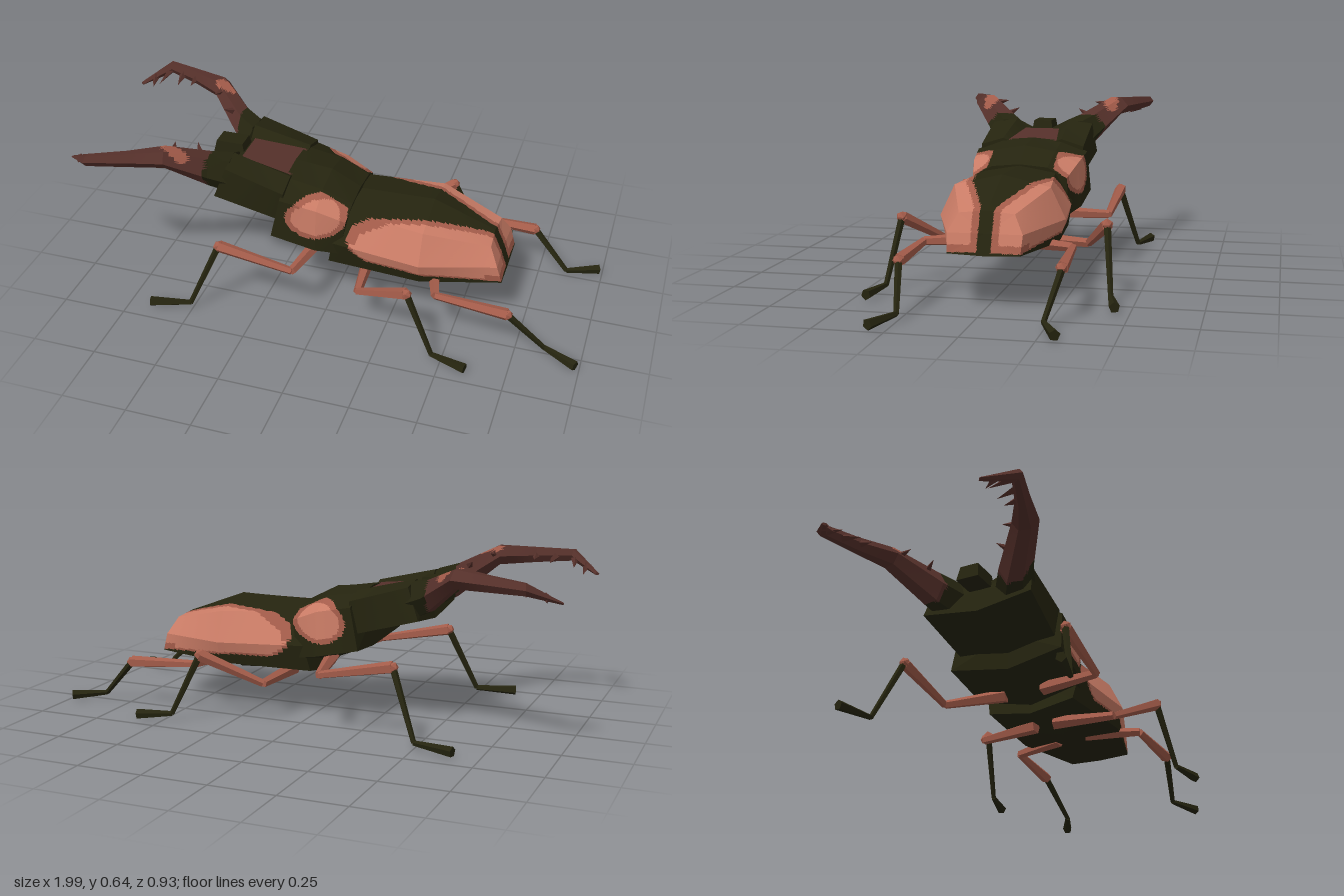
import * as THREE from 'three';

const mat = (name, color) => {
  const m = new THREE.MeshStandardMaterial({ color, flatShading: true });
  m.name = name;
  return m;
};

export function createModel() {
  const model = new THREE.Group();
  model.name = 'beetle';
  const mats = [
    mat('dark olive shell', 0x25240f),
    mat('salmon', 0xca7c66),
    mat('dull salmon', 0xa45c4a),
    mat('red brown', 0x55302a),
  ];
  const [DARK, SALMON, DULL, BROWN] = [0, 1, 2, 3];
  const lerp = THREE.MathUtils.lerp;

  // Loft closed rings of [x, y, z], cap both ends, and colour small cells by a rule
  function loft(name, rings, colourAt, n = 16) {
    const centre = (r) => {
      const c = [0, 1, 2].map((k) => r.reduce((s, p) => s + p[k], 0) / r.length);
      return r.map(() => c);
    };
    const all = [centre(rings[0]), ...rings, centre(rings[rings.length - 1])];
    const tris = [];
    const mix = (a, b, t) => a.map((v, k) => lerp(v, b[k], t));
    for (let i = 0; i < all.length - 1; i++) {
      for (let j = 0; j < all[i].length; j++) {
        const k = (j + 1) % all[i].length;
        const at = (u, v) => mix(mix(all[i][j], all[i][k], v / n), mix(all[i + 1][j], all[i + 1][k], v / n), u / n);
        for (let u = 0; u < n; u++) for (let v = 0; v < n; v++) {
          const a = at(u, v), b = at(u + 1, v), c = at(u + 1, v + 1), d = at(u, v + 1);
          tris.push([a, b, c], [a, c, d]);
        }
      }
    }
    // Signed volume tells which way the corners run
    let volume = 0;
    const A = new THREE.Vector3(), B = new THREE.Vector3(), C = new THREE.Vector3();
    for (const [a, b, c] of tris) volume += A.fromArray(a).dot(B.fromArray(b).cross(C.fromArray(c)));
    const buckets = mats.map(() => []);
    for (const [a, b, c] of tris) {
      const mid = [0, 1, 2].map((k) => (a[k] + b[k] + c[k]) / 3);
      buckets[colourAt(mid[0], mid[1], Math.abs(mid[2]))].push(...a, ...(volume > 0 ? b : c), ...(volume > 0 ? c : b));
    }
    const geo = new THREE.BufferGeometry();
    geo.setAttribute('position', new THREE.Float32BufferAttribute(buckets.flat(), 3));
    let start = 0;
    buckets.forEach((b, i) => {
      if (b.length) geo.addGroup(start, b.length / 3, i);
      start += b.length / 3;
    });
    geo.computeVertexNormals();
    const mesh = new THREE.Mesh(geo, mats);
    mesh.name = name;
    model.add(mesh);
  }

  // Complete a half section that runs from top centre to bottom centre
  const full = (half) => [...half, ...half.slice(1, -1).reverse().map(([x, y, z]) => [x, y, -z])];

  // Tapered rod between two points
  function rod(name, from, to, r0, r1, material, sides = 5) {
    const a = new THREE.Vector3(...from), b = new THREE.Vector3(...to);
    const dir = b.clone().sub(a);
    const mesh = new THREE.Mesh(new THREE.CylinderGeometry(r1, r0, dir.length(), sides), mats[material]);
    mesh.position.copy(a).add(b).multiplyScalar(0.5);
    mesh.quaternion.setFromUnitVectors(new THREE.Vector3(0, 1, 0), dir.normalize());
    mesh.name = name;
    model.add(mesh);
  }

  // Abdomen: two large wing-case patches beside a dark, narrowing middle stripe
  loft('abdomen', [
    [[0.07, 0.43, 0], [0.055, 0.405, 0.14], [0.01, 0.29, 0.2], [-0.01, 0.19, 0.18], [-0.01, 0.16, 0]],
    [[0.36, 0.437, 0], [0.36, 0.395, 0.18], [0.36, 0.28, 0.235], [0.36, 0.195, 0.21], [0.36, 0.18, 0]],
    [[0.6, 0.345, 0], [0.605, 0.335, 0.1], [0.64, 0.27, 0.135], [0.66, 0.2, 0.13], [0.66, 0.195, 0]],
  ].map(full), (x, y, z) => {
    const stripe = x < 0.36 ? lerp(0.165, 0.11, (x - 0.08) / 0.28) : lerp(0.11, 0.025, Math.min(1, (x - 0.36) / 0.22));
    const floor = x < 0.3 ? 0.235 : lerp(0.235, 0.205, (x - 0.3) / 0.36);
    const nose = x < 0.2 ? 0.075 - Math.hypot((x - 0.2) * 0.68, y - 0.32) + 0.015 : 1;
    const edge = Math.min(z - stripe, y - floor, nose);
    if (edge < 0) return DARK;
    return edge < (y < 0.3 && x < 0.6 ? 0.008 : 0.025) ? DULL : SALMON;
  });

  // Thorax: an oval patch on each flank
  loft('thorax', [
    [[-0.2, 0.51, 0], [-0.2, 0.5, 0.12], [-0.19, 0.46, 0.225], [-0.225, 0.3, 0.235], [-0.2, 0.27, 0]],
    [[-0.05, 0.495, 0], [-0.05, 0.475, 0.12], [-0.05, 0.43, 0.21], [-0.05, 0.26, 0.225], [-0.05, 0.21, 0]],
    [[0.065, 0.435, 0], [0.065, 0.425, 0.11], [0.06, 0.385, 0.185], [0.04, 0.24, 0.19], [0.04, 0.19, 0]],
  ].map(full), (x, y, z) => {
    const d = Math.hypot((x + 0.055) / 0.115, (y - 0.39) / 0.08);
    if (z < 0.13 || d > 1) return DARK;
    return d > 0.8 ? DULL : SALMON;
  });

  // Head: raised side lobes with a brown plate sunk between them
  loft('head', [
    [[-0.41, 0.53, 0], [-0.41, 0.53, 0.07], [-0.41, 0.565, 0.11], [-0.41, 0.55, 0.21], [-0.455, 0.43, 0.225], [-0.45, 0.4, 0]],
    [[-0.18, 0.5, 0], [-0.18, 0.5, 0.1], [-0.18, 0.508, 0.12], [-0.18, 0.48, 0.21], [-0.18, 0.35, 0.2], [-0.18, 0.33, 0]],
  ].map(full), (x, y, z) =>
    (x > -0.4 && x < -0.185 && y > 0.48 && z < lerp(0.1, 0.07, (-0.18 - x) / 0.23) ? BROWN : DARK));

  // Snout block
  const snout = new THREE.Mesh(new THREE.CylinderGeometry(0.052, 0.065, 0.06, 4, 1, false, Math.PI / 4), mats[DARK]);
  snout.scale.x = 1.45;
  snout.position.set(-0.46, 0.53, 0);
  snout.name = 'snout';
  model.add(snout);

  // Jaw stations: inner x, z, outer x, z, low y, high y
  const jaw = [
    [-0.42, 0.06, -0.4, 0.215, 0.42, 0.56],
    [-0.5, 0.115, -0.47, 0.245, 0.46, 0.58],
    [-0.63, 0.235, -0.605, 0.335, 0.575, 0.645],
    [-0.75, 0.31, -0.76, 0.375, 0.582, 0.637],
    [-0.88, 0.365, -0.893, 0.415, 0.588, 0.63],
    [-0.985, 0.3, -1, 0.312, 0.55, 0.56],
  ];
  const teeth = [
    [[-0.52, 0.57, 0.18], [-0.55, 0.6, 0.13]],
    [[-0.6, 0.615, 0.25], [-0.615, 0.625, 0.19]],
    [[-0.75, 0.61, 0.33], [-0.755, 0.6, 0.27]],
    [[-0.82, 0.605, 0.355], [-0.815, 0.59, 0.275]],
    [[-0.89, 0.6, 0.385], [-0.905, 0.575, 0.29]],
    [[-0.945, 0.58, 0.345], [-0.94, 0.55, 0.3]],
  ];
  // Leg joints: root, hip, knee, ankle, toe
  const legs = {
    front: [[-0.06, 0.23, 0.08], [-0.11, 0.22, 0.325], [-0.4, 0.28, 0.335], [-0.505, 0.03, 0.4], [-0.66, 0.027, 0.437]],
    middle: [[0.12, 0.16, 0.04], [0.14, 0.152, 0.285], [0.355, 0.265, 0.385], [0.465, 0.03, 0.415], [0.6, 0.022, 0.447]],
    hind: [[0.38, 0.2, 0.06], [0.44, 0.195, 0.275], [0.715, 0.18, 0.285], [0.86, 0.03, 0.25], [0.985, 0.022, 0.31]],
  };

  for (const [side, s] of [['left', 1], ['right', -1]]) {
    const flip = ([x, y, z]) => [x, y, z * s];
    const label = (part) => side + ' ' + part;

    // Curved jaws, dark at the root, with a small pale spot
    loft(label('jaw'), jaw.map(([xi, zi, xo, zo, lo, hi]) =>
      [[0, 0.5], [0.25, 1], [0.7, 1], [1, 0.5], [0.7, 0], [0.25, 0]].map(([t, h]) =>
        flip([lerp(xi, xo, t), lerp(lo, hi, h), lerp(zi, zo, t)]))), (x, y, z) => {
      if (x > -0.485) return DARK;
      return y > 0.59 && Math.hypot((x + 0.585) / 0.05, (z - 0.265) / 0.03) < 1 ? DULL : BROWN;
    }, 8);
    for (const [a, b] of teeth) rod(label('jaw tooth'), flip(a), flip(b), 0.018, 0, BROWN, 4);

    // Jointed legs with flared feet
    for (const [which, joints] of Object.entries(legs)) {
      const [root, hip, knee, ankle, toe] = joints.map(flip);
      rod(label(which + ' hip'), root, hip, 0.028, 0.017, DULL);
      rod(label(which + ' thigh'), hip, knee, 0.015, 0.024, DULL);
      rod(label(which + ' shin'), knee, ankle, 0.014, 0.01, DARK);
      rod(label(which + ' foot'), ankle, toe, 0.01, 0.02, DARK);
      const joint = new THREE.Mesh(new THREE.IcosahedronGeometry(0.022, 0), mats[DULL]);
      joint.position.set(...knee);
      joint.name = label(which + ' knee');
      model.add(joint);
    }
  }
  return model;
}
